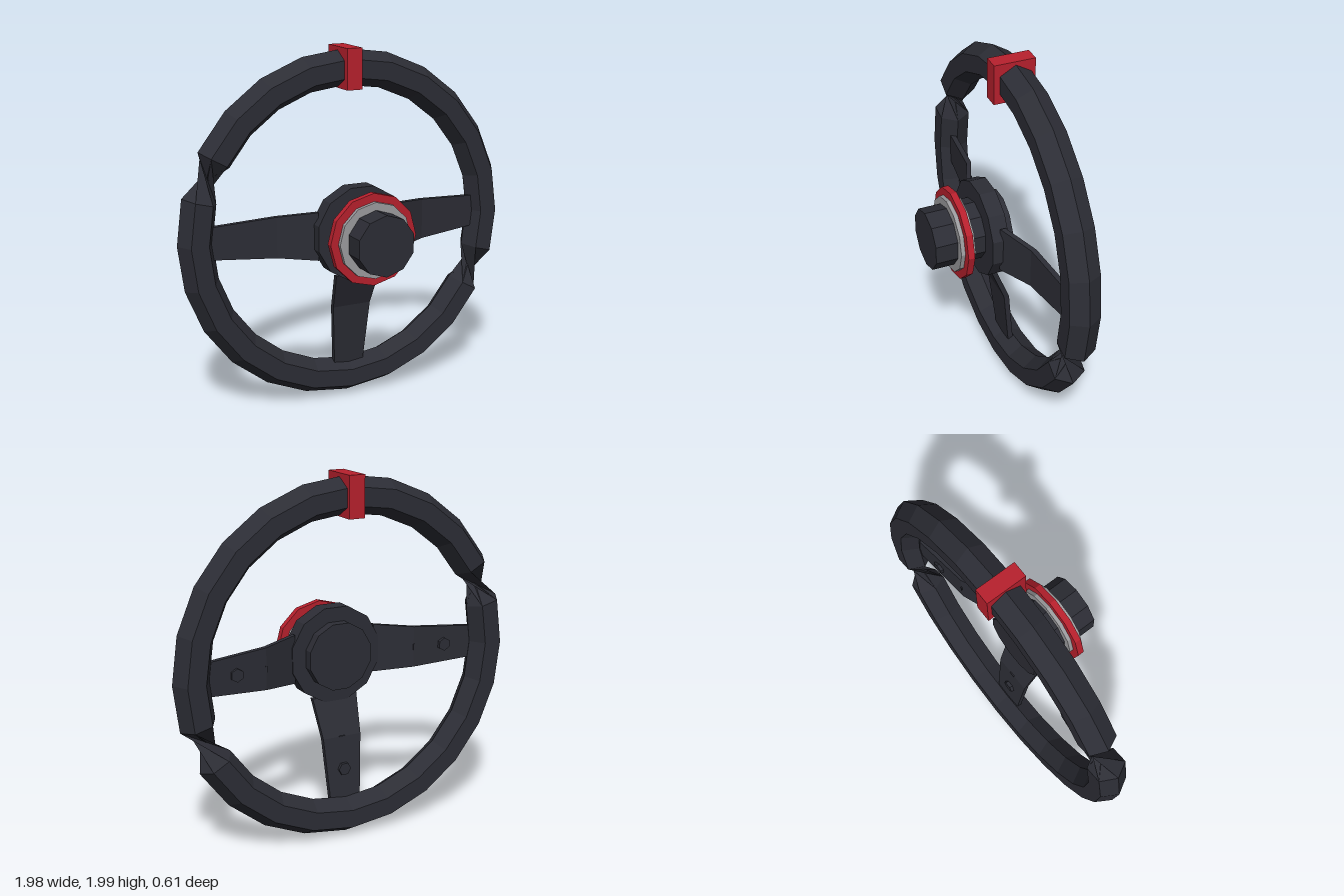
import * as THREE from 'three';

const CY = 0.997; // height of the wheel axis
const dark = new THREE.MeshStandardMaterial({ color: 0x2c2d35 });
dark.name = 'charcoal';
const red = new THREE.MeshStandardMaterial({ color: 0xb8202d });
red.name = 'red';
const grey = new THREE.MeshStandardMaterial({ color: 0x9c9c9f });
grey.name = 'grey';
for (const m of [dark, red, grey]) m.flatShading = true;

function add(parent, name, geometry, material) {
  const mesh = new THREE.Mesh(geometry, material);
  mesh.name = name;
  parent.add(mesh);
  return mesh;
}

// Faceted disc along z, from z0 to z1
function disc(radius, z0, z1, sides, start = 0) {
  const g = new THREE.CylinderGeometry(radius, radius, z1 - z0, sides, 1, false, start);
  return g.rotateX(Math.PI / 2).translate(0, 0, (z0 + z1) / 2);
}

// Hexagonal ring; the listed segments are wrung by a third of a turn
function rimGeometry(radius, tube, segments, sides, twisted) {
  const pos = [];
  const point = (i, j) => {
    const a = (i / segments) * Math.PI * 2;
    const b = (j / sides) * Math.PI * 2;
    const r = radius + tube * Math.cos(b);
    return [r * Math.cos(a), r * Math.sin(a), tube * Math.sin(b)];
  };
  for (let i = 0; i < segments; i++) {
    const shift = twisted.includes(i) ? 2 : 0;
    for (let j = 0; j < sides; j++) {
      const a = point(i, j), b = point(i + 1, j + shift);
      const c = point(i + 1, j + 1 + shift), d = point(i, j + 1);
      pos.push(...a, ...b, ...c, ...a, ...c, ...d);
    }
  }
  const g = new THREE.BufferGeometry();
  g.setAttribute('position', new THREE.Float32BufferAttribute(pos, 3));
  g.computeVertexNormals();
  return g;
}

// Bent, tapering plate running outward along +x
function spokeGeometry() {
  const stations = [[0.24, -0.045, 0.135], [0.45, -0.13, 0.115], [0.84, -0.175, 0.088]];
  const g = new THREE.BoxGeometry(2, 2, 0.03, 2, 1, 1);
  const p = g.attributes.position;
  for (let i = 0; i < p.count; i++) {
    const [x, z, half] = stations[Math.round(p.getX(i) + 1)];
    p.setXYZ(i, x, p.getY(i) * half, p.getZ(i) + z);
  }
  g.computeVertexNormals();
  return g;
}

export function createModel() {
  const model = new THREE.Group();
  model.name = 'steeringWheel';
  const wheel = new THREE.Group();
  wheel.name = 'wheel';
  wheel.position.y = CY;
  model.add(wheel);

  // Grip rim and the marker at its top
  add(wheel, 'rim', rimGeometry(0.89, 0.1, 24, 6, [10, 22]), dark).position.z = -0.19;
  add(wheel, 'topMarker', new THREE.BoxGeometry(0.09, 0.225, 0.23), red)
    .position.set(0, 1.8875 - CY, -0.185);

  // Three spokes with bolt heads on the back
  const names = ['leftSpoke', 'rightSpoke', 'lowerSpoke'];
  [0, Math.PI, -Math.PI / 2].forEach((angle, i) => {
    const spoke = new THREE.Group();
    spoke.name = names[i];
    spoke.rotation.z = angle;
    wheel.add(spoke);
    add(spoke, 'spokePlate', spokeGeometry(), dark);
    add(spoke, 'bolt', disc(0.037, -0.182, -0.155, 6), dark).position.x = 0.63;
    add(spoke, 'slot', new THREE.BoxGeometry(0.008, 0.035, 0.02), dark)
      .position.set(0.45, 0, -0.14);
  });

  // Hub: back cap, flange, shaft and the collar rings
  add(wheel, 'backCap', disc(0.19, -0.13, -0.06, 12, Math.PI / 12), dark);
  add(wheel, 'hubFlange', disc(0.272, -0.075, 0.02, 12, Math.PI / 12), dark);
  add(wheel, 'shaft', disc(0.17, 0, 0.305, 10), dark);
  add(wheel, 'greyCollar', disc(0.213, 0.098, 0.18, 12), grey);
  add(wheel, 'redCollar', disc(0.258, 0.12, 0.157, 12), red);
  return model;
}
